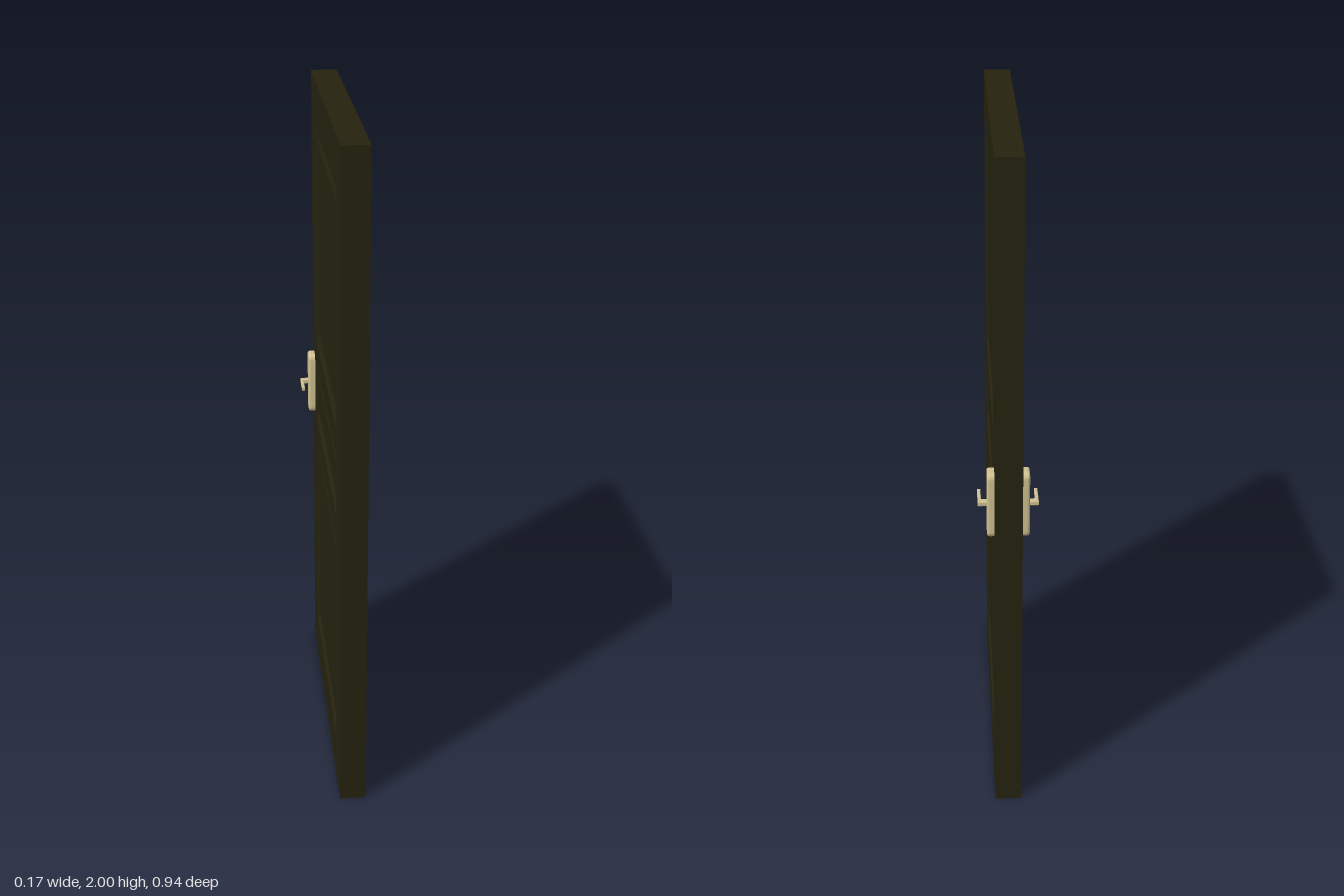
import * as THREE from 'three';

const W = 0.945, H = 2, T = 0.078, CX = -0.002;
const PLATE_Z = -0.417, LEVER_Z = -0.42;
// panel openings: [bottom, top]
const PANELS = [[0.145, 0.83], [0.905, 1.095], [1.175, 1.86]];
const PANEL_W = 0.345;
// moulding steps: [inset from opening, depth below the face]
const STEPS = [[0, 0], [0.006, 0.007], [0.019, 0.012], [0.03, 0.012], [0.036, 0.008], [0.05, 0.004]];

const rect = (x, y0, y1, d = 0) => [[-x + d, y0 + d], [x - d, y0 + d], [x - d, y1 - d], [-x + d, y1 - d]];
const toPath = (C, pts) => new C(pts.map(p => new THREE.Vector2(p[0], p[1])));

// Mitred recessed moulding with a raised central field, facing +z
function panelGeometry(y0, y1) {
  const pos = [];
  const quad = (a, b, c, d) => pos.push(...a, ...b, ...c, ...a, ...c, ...d);
  const rings = STEPS.map(([inset, depth]) => rect(PANEL_W, y0, y1, inset).map(p => [...p, -depth]));
  for (let i = 0; i < rings.length - 1; i++)
    for (let k = 0; k < 4; k++) {
      const n = (k + 1) % 4;
      quad(rings[i][k], rings[i][n], rings[i + 1][n], rings[i + 1][k]);
    }
  quad(...rings[rings.length - 1]);
  const g = new THREE.BufferGeometry();
  g.setAttribute('position', new THREE.Float32BufferAttribute(pos, 3));
  g.computeVertexNormals();
  return g;
}

// Rounded escutcheon with a soft front edge, facing +z
function plateGeometry() {
  const b = 0.007, w = 0.03 - b, h = 0.1 - b, r = 0.012;
  const s = new THREE.Shape();
  s.moveTo(-w + r, -h).lineTo(w - r, -h).quadraticCurveTo(w, -h, w, -h + r)
    .lineTo(w, h - r).quadraticCurveTo(w, h, w - r, h)
    .lineTo(-w + r, h).quadraticCurveTo(-w, h, -w, h - r)
    .lineTo(-w, -h + r).quadraticCurveTo(-w, -h, -w + r, -h);
  return new THREE.ExtrudeGeometry(s, { depth: 0.014, bevelSize: b, bevelThickness: b, bevelSegments: 3, curveSegments: 5 });
}

// L-shaped lever seen from above: shank outward, then the grip along +z
function leverGeometry(side) {
  const b = 0.003;
  const pts = [[0, -0.007], [0.0245, -0.007], [0.0245, 0.068], [0.0205, 0.068], [0.0205, 0.007], [0, 0.007]];
  const s = toPath(THREE.Shape, pts.map(([x, y]) => [side * x, y]));
  const g = new THREE.ExtrudeGeometry(s, { depth: 0.008, bevelSize: b, bevelThickness: b, bevelSegments: 3 });
  return g.translate(0, 0, -0.004).rotateX(Math.PI / 2);
}

export function createModel() {
  const wood = new THREE.MeshStandardMaterial({ color: 0x25230f });
  wood.name = 'darkOliveWood';
  const brass = new THREE.MeshStandardMaterial({ color: 0xd2c292 });
  brass.name = 'paleBrass';
  const door = new THREE.Group();
  door.name = 'door';
  const add = (parent, name, geometry, material) => {
    const m = new THREE.Mesh(geometry, material);
    m.name = name;
    parent.add(m);
    return m;
  };

  // frame of stiles and rails, with the three panel openings
  const outline = toPath(THREE.Shape, rect(W / 2, 0, H));
  outline.holes = PANELS.map(([a, b]) => toPath(THREE.Path, rect(PANEL_W, a, b).reverse()));
  const frame = add(door, 'doorFrame', new THREE.ExtrudeGeometry(outline, { depth: T, bevelEnabled: false })
    .translate(0, 0, -T / 2).rotateY(Math.PI / 2), wood);
  frame.position.x = CX;

  for (const side of [1, -1]) {
    const label = side > 0 ? 'left' : 'right';
    const face = CX + side * T / 2;

    // panels
    PANELS.forEach(([a, b], i) => {
      const p = add(door, label + ['Lower', 'Middle', 'Upper'][i] + 'Panel', panelGeometry(a, b), wood);
      p.rotation.y = side * Math.PI / 2;
      p.position.x = face;
    });

    // handle set
    const handle = new THREE.Group();
    handle.name = label + 'Handle';
    handle.position.set(face, 1, 0);
    const plate = add(handle, 'handlePlate', plateGeometry(), brass);
    plate.rotation.y = side * Math.PI / 2;
    plate.position.z = PLATE_Z;
    const lever = add(handle, 'handleLever', leverGeometry(side), brass);
    lever.position.set(side * 0.019, 0, LEVER_Z);
    door.add(handle);
  }
  return door;
}
